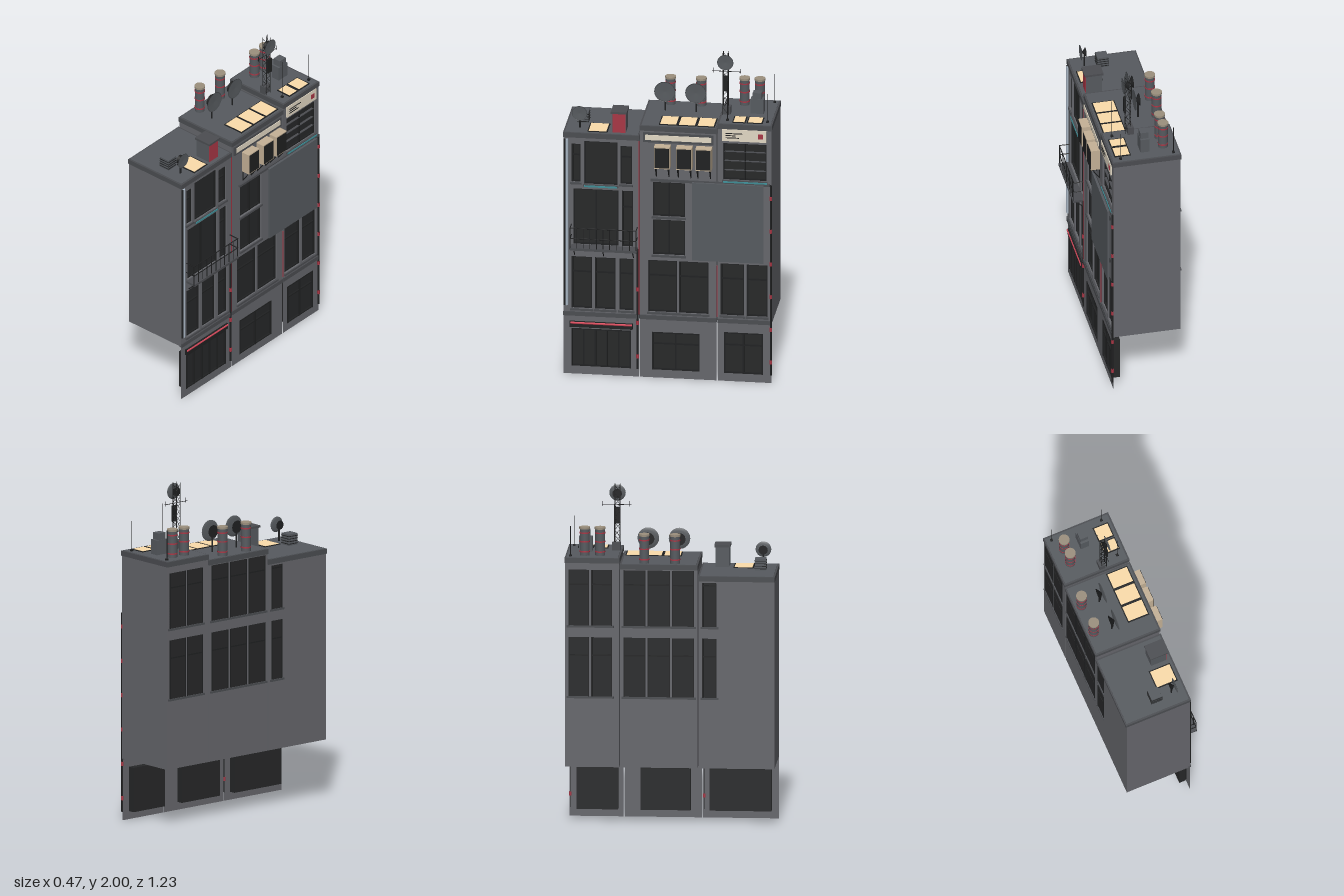
import * as THREE from 'three';

const mat = (color, extra = {}) => new THREE.MeshStandardMaterial({ color, ...extra });
const wall = mat(0x65666b, { side: THREE.DoubleSide }), trim = mat(0x4b4d51), roofGrey = mat(0x565a5f), dark = mat(0x1f2021), glass = mat(0x262728);
const cream = mat(0xfbdcaa), tan = mat(0xc4b196), pale = mat(0xe2d8c4), red = mat(0xa83645), rose = mat(0xd84a5c), teal = mat(0x3f8d96), steel = mat(0xa9b6c4);

// Working frame: u runs along the street front, y is up, d is depth towards the street.
export function createModel() {
  const root = new THREE.Group();
  const add = (name, geo, m, u = 0, y = 0, d = 0) => {
    const mesh = new THREE.Mesh(geo, m);
    mesh.name = name;
    mesh.position.set(u, y, d);
    root.add(mesh);
    return mesh;
  };
  const box = (name, m, u0, u1, y0, y1, d0, d1) =>
    add(name, new THREE.BoxGeometry(u1 - u0, y1 - y0, d1 - d0), m, (u0 + u1) / 2, (y0 + y1) / 2, (d0 + d1) / 2);
  const post = (name, m, u, d, y0, y1, r, sides = 8) =>
    add(name, new THREE.CylinderGeometry(r, r, y1 - y0, sides), m, u, (y0 + y1) / 2, d);
  const bar = (name, m, a, b, r) => {
    const p = new THREE.Vector3(...a), q = new THREE.Vector3(...b);
    const mesh = add(name, new THREE.CylinderGeometry(r, r, p.distanceTo(q), 6), m);
    mesh.position.copy(p).lerp(q, 0.5);
    mesh.quaternion.setFromUnitVectors(new THREE.Vector3(0, 1, 0), q.sub(p).normalize());
  };
  const rect = (T, u0, u1, y0, y1) => {
    const s = new T();
    s.moveTo(u0, y0);
    s.lineTo(u1, y0);
    s.lineTo(u1, y1);
    s.lineTo(u0, y1);
    s.closePath();
    return s;
  };

  // Window joinery: border, mullions and an optional transom
  const joinery = ([u0, u1, y0, y1, cols = 2, transom], d) => {
    const t = 0.004;
    for (let i = 0; i <= cols; i++) {
      const u = u0 + t + (u1 - u0 - 2 * t) * i / cols;
      box('windowMullion', dark, u - t, u + t, y0, y1, d, d + 0.012);
    }
    const rows = [y0 + t, y1 - t];
    if (transom) rows.push(y0 + (y1 - y0) * transom);
    for (const y of rows) box('windowRail', dark, u0, u1, y - t, y + t, d, d + 0.01);
  };

  // Each house: extent, height, street-level window, upper windows [u0, u1, y0, y1, columns, transom]
  const houses = [
    { u0: -0.612, u1: -0.168, top: 1.51, shop: [-0.565, -0.215, 0.05, 0.285, 5], windows: [
      [-0.565, -0.443, 0.41, 0.735, 1, 0.7], [-0.427, -0.305, 0.41, 0.735, 1, 0.7], [-0.284, -0.2, 0.41, 0.735, 1, 0.7],
      [-0.554, -0.289, 0.81, 1.16, 2], [-0.268, -0.204, 0.81, 1.16, 1, 0.7],
      [-0.565, -0.511, 1.2, 1.44, 1, 0.7], [-0.49, -0.295, 1.19, 1.46, 1], [-0.278, -0.21, 1.2, 1.44, 1, 0.7]] },
    { u0: -0.163, u1: 0.288, top: 1.575, shop: [-0.093, 0.188, 0.05, 0.285, 2, 0.7], windows: [
      [-0.114, 0.056, 0.41, 0.735, 1, 0.7], [0.066, 0.241, 0.41, 0.735, 1, 0.7],
      [-0.087, 0.103, 0.77, 0.99, 2], [-0.087, 0.103, 1.01, 1.225, 2]] },
    { u0: 0.294, u1: 0.61, top: 1.61, shop: [0.331, 0.559, 0.05, 0.305, 2, 0.7], windows: [
      [0.31, 0.448, 0.41, 0.735, 1, 0.7], [0.464, 0.586, 0.41, 0.735, 1, 0.7], [0.326, 0.58, 1.26, 1.49, 2]] },
  ];
  for (const { u0, u1, top, shop, windows } of houses) {
    // Hollow shell: sides, roof and back, open below and towards the street front
    const shell = box('houseShell', wall, u0, u1, 0.37, top - 0.005, -0.23, 0.14).geometry;
    const faces = Array.from(shell.index.array);
    faces.splice(18, 12);
    shell.setIndex(faces);
    shell.clearGroups();
    // Pierced street front
    const front = rect(THREE.Shape, u0, u1, 0.37, top - 0.005);
    front.holes = windows.map(w => rect(THREE.Path, ...w.slice(0, 4)));
    add('streetFront', new THREE.ExtrudeGeometry(front, { depth: 0.03, bevelEnabled: false }), wall, 0, 0, 0.14);
    for (const w of windows) {
      box('windowGlass', glass, w[0], w[1], w[2], w[3], 0.138, 0.148);
      joinery(w, 0.148);
      box('windowSill', trim, w[0] - 0.006, w[1] + 0.006, w[2] - 0.012, w[2], 0.165, 0.178);
    }
    // Thin street-level wall with a deep window box
    const ground = rect(THREE.Shape, u0, u1, 0, 0.37);
    ground.holes = [rect(THREE.Path, ...shop.slice(0, 4))];
    add('groundWall', new THREE.ShapeGeometry(ground), wall, 0, 0, 0.169);
    box('shopWindow', glass, shop[0] - 0.006, shop[1] + 0.006, shop[2], shop[3] + 0.01, 0.12, 0.16);
    joinery(shop, 0.16);
    // Ledges, parapet and roof edge
    box('floorLedge', trim, u0, u1, 0.365, 0.39, 0.16, 0.178);
    box('roofCornice', trim, u0 - 0.002, u1 + 0.002, top - 0.03, top, -0.236, 0.176);
    box('roofDeck', roofGrey, u0 + 0.008, u1 - 0.008, top, top + 0.002, -0.228, 0.166);
  }

  // Rear windows in two rows, parted by piers
  for (const [a, b, n] of [[0.33, 0.595, 2], [-0.15, 0.275, 3], [-0.28, -0.185, 1]])
    for (const [y0, y1] of [[0.79, 1.14], [1.21, n === 1 ? 1.47 : 1.54]]) {
      const w = (b - a) / n;
      for (let i = 0; i < n; i++) {
        const u = a + w * i + 0.006, v = a + w * (i + 1) - 0.006;
        box('rearGlass', glass, u, v, y0, y1, -0.232, -0.226);
        for (const x of [u + 0.003, v - 0.003]) box('rearFrame', dark, x - 0.003, x + 0.003, y0, y1, -0.234, -0.23);
        box('rearRail', dark, u, v, y0 + 0.24, y0 + 0.248, -0.234, -0.23);
      }
      box('rearSill', trim, a - 0.005, b + 0.005, y0 - 0.012, y0, -0.238, -0.228);
    }

  // Balcony with railing and brackets
  box('balconyFloor', trim, -0.565, -0.175, 0.795, 0.81, 0.17, 0.235);
  for (const y of [0.87, 0.935]) {
    bar('balconyRail', dark, [-0.565, y, 0.23], [-0.175, y, 0.23], 0.003);
    for (const u of [-0.565, -0.178]) bar('balconyRail', dark, [u, y, 0.17], [u, y, 0.23], 0.003);
  }
  for (let i = 0; i <= 10; i++) post('balconyBaluster', dark, -0.565 + i * 0.0387, 0.23, 0.8, 0.935, 0.0025, 6);
  for (const u of [-0.545, -0.375, -0.2]) bar('balconyBracket', dark, [u, 0.745, 0.172], [u, 0.797, 0.225], 0.003);

  // Awning with red roller and coloured sills
  box('awningCase', dark, -0.575, -0.205, 0.295, 0.33, 0.165, 0.18);
  bar('awningRoller', rose, [-0.57, 0.322, 0.179], [-0.208, 0.322, 0.179], 0.007);
  box('tealSill', teal, -0.49, -0.295, 1.176, 1.186, 0.168, 0.182);
  box('tealSill', teal, 0.326, 0.585, 1.246, 1.255, 0.168, 0.182);
  for (let i = 1; i < 4; i++) box('grilleRail', trim, 0.33, 0.576, 1.259 + i * 0.058, 1.262 + i * 0.058, 0.148, 0.162);

  // Pipes and clamps
  post('palePipe', steel, -0.592, 0.174, 0.43, 1.47, 0.009, 10);
  post('darkPipe', dark, -0.605, 0.174, 0.43, 1.47, 0.006);
  for (const [u, y0, y1] of [[-0.168, 0.39, 1.48], [0.291, 0.4, 0.72]]) post('redPipe', red, u, 0.173, y0, y1, 0.0025);
  post('downPipe', dark, -0.176, 0.174, 0.05, 0.8, 0.006);
  post('downPipe', dark, 0.606, 0.174, 0.05, 1.24, 0.006);
  for (const y of [0.13, 0.34, 0.55]) post('pipeClamp', red, -0.176, 0.174, y - 0.012, y + 0.012, 0.009);
  for (let i = 0; i < 6; i++) post('pipeClamp', red, 0.606, 0.174, 0.12 + i * 0.205, 0.144 + i * 0.205, 0.008);

  // Billboard and upper ledge
  box('billboard', roofGrey, 0.146, 0.565, 0.755, 1.24, 0.182, 0.196);
  for (const u of [0.2, 0.51]) for (const y of [0.85, 1.15]) box('billboardMount', dark, u, u + 0.02, y, y + 0.02, 0.165, 0.184);
  box('upperLedge', trim, -0.1, 0.6, 1.232, 1.246, 0.168, 0.181);

  // Shop signs
  box('signFrame', trim, -0.145, 0.27, 1.475, 1.535, 0.168, 0.178);
  box('signPanel', pale, -0.13, 0.257, 1.49, 1.522, 0.17, 0.182);
  box('signPanel', pale, 0.32, 0.58, 1.507, 1.58, 0.168, 0.18);
  box('signMark', red, 0.532, 0.562, 1.528, 1.558, 0.17, 0.182);
  for (const [y, w] of [[1.553, 0.1], [1.54, 0.06], [1.526, 0.08]]) box('signStripe', dark, 0.34, 0.34 + w, y, y + 0.005, 0.17, 0.182);

  // Projecting cooling units on struts
  for (const u of [-0.074, 0.055, 0.17]) {
    box('coolingUnit', tan, u, u + 0.093, 1.33, 1.465, 0.172, 0.226);
    box('coolingGrille', dark, u + 0.005, u + 0.088, 1.336, 1.459, 0.2, 0.229);
    for (const s of [u + 0.008, u + 0.082]) {
      bar('coolingStrut', dark, [s, 1.262, 0.172], [s, 1.33, 0.22], 0.003);
      bar('coolingStrut', dark, [s, 1.262, 0.173], [s, 1.335, 0.173], 0.003);
    }
  }

  // Skylights: [u0, u1, d0, d1, roof]
  for (const [a, b, c, d, y] of [[-0.47, -0.36, 0.02, 0.15, 1.51], [-0.05, 0.05, 0.02, 0.15, 1.575], [0.06, 0.16, 0.02, 0.15, 1.575],
    [0.17, 0.27, 0.02, 0.15, 1.575], [0.38, 0.45, 0.055, 0.148, 1.61], [0.465, 0.55, 0.055, 0.148, 1.61]]) {
    box('skylightFrame', dark, a - 0.004, b + 0.004, y, y + 0.006, c - 0.002, d + 0.002);
    box('skylight', cream, a + 0.003, b - 0.003, y, y + 0.008, c + 0.004, d - 0.004);
  }

  // Chimneys with red bands and tan caps
  for (const [u, d, y0, y1] of [[-0.03, -0.19, 1.575, 1.75], [0.15, -0.19, 1.575, 1.75], [0.41, -0.15, 1.61, 1.78], [0.5, -0.15, 1.61, 1.78]]) {
    post('chimney', roofGrey, u, d, y0, y1 - 0.008, 0.029, 16);
    post('chimneyCap', mat(0x9b8f7d), u, d, y1 - 0.012, y1, 0.032, 16);
    for (const k of [0.15, 0.5, 0.8]) post('chimneyBand', red, u, d, y0 + (y1 - y0) * k - 0.004, y0 + (y1 - y0) * k + 0.004, 0.0305, 16);
  }

  // Roof hut with red door, vents and boxes
  box('roofHut', roofGrey, -0.33, -0.25, 1.51, 1.63, 0.045, 0.14);
  box('roofHutDoor', red, -0.328, -0.252, 1.512, 1.628, 0.138, 0.143);
  box('roofHutTop', trim, -0.337, -0.243, 1.63, 1.643, 0.038, 0.15);
  box('ventBox', roofGrey, -0.55, -0.485, 1.51, 1.58, -0.045, 0.02);
  for (let i = 0; i < 4; i++) box('ventLouvre', dark, -0.552, -0.483, 1.52 + i * 0.015, 1.524 + i * 0.015, -0.047, 0.022);
  box('roofTank', roofGrey, 0.462, 0.54, 1.61, 1.7, -0.06, -0.008);
  box('roofTankTop', roofGrey, 0.475, 0.527, 1.7, 1.74, -0.058, -0.01);
  box('mastBase', trim, 0.3, 0.35, 1.61, 1.66, -0.01, 0.025);

  // Shallow dishes facing the street
  const dish = (u, y, d, r, base) => {
    const profile = [[0, 0], [r * 0.7, 0.002], [r, 0.006], [r * 0.9, 0.007], [0, 0.004]].map(p => new THREE.Vector2(...p));
    add('dish', new THREE.LatheGeometry(profile, 24), mat(0x565a5e, { side: THREE.DoubleSide }), u, y, d - 0.004).rotation.x = Math.PI / 2;
    add('dishMount', new THREE.ConeGeometry(r * 0.6, 0.026, 12), dark, u, y, d - 0.015).rotation.x = Math.PI / 2;
    if (base) post('dishPost', dark, u, d - 0.02, base, y, 0.005);
  };
  dish(-0.525, 1.608, 0.11, 0.046, 1.51);
  dish(-0.047, 1.7, -0.063, 0.063, 1.575);
  dish(0.135, 1.7, -0.063, 0.063, 1.575);
  dish(0.322, 1.945, 0.046, 0.048);

  // Lattice mast with crossbar and panel
  const legs = [[0.306, 0.005], [0.336, 0.005], [0.336, 0.035], [0.306, 0.035]];
  legs.forEach(([u, d], i) => {
    const [v, e] = legs[(i + 1) % 4];
    post('mastLeg', dark, u, d, 1.61, 2, 0.002, 6);
    for (let k = 0; k < 10; k++) {
      const y = 1.62 + k * 0.037;
      bar('mastBrace', dark, k % 2 ? [v, y, e] : [u, y, d], k % 2 ? [u, y + 0.037, d] : [v, y + 0.037, e], 0.0013);
    }
  });
  bar('mastCrossbar', dark, [0.24, 1.88, 0.02], [0.412, 1.88, 0.02], 0.0018);
  for (const u of [0.25, 0.408]) post('crossbarTip', dark, u, 0.02, 1.87, 1.9, 0.0018, 6);
  box('mastPanel', dark, 0.306, 0.338, 1.765, 1.86, 0.034, 0.046);

  // Whip aerials
  for (const [u, d, top] of [[0.345, 0.12, 1.86], [0.58, 0.12, 1.79], [0.58, -0.195, 1.79]]) {
    post('aerial', dark, u, d, 1.61, top, 0.002, 6);
    box('aerialFoot', dark, u - 0.007, u + 0.007, 1.61, 1.622, d - 0.007, d + 0.007);
  }

  // Turn the street front towards +x
  root.rotation.y = Math.PI / 2;
  const model = new THREE.Group();
  model.name = 'terraceBlock';
  model.add(root);
  return model;
}
